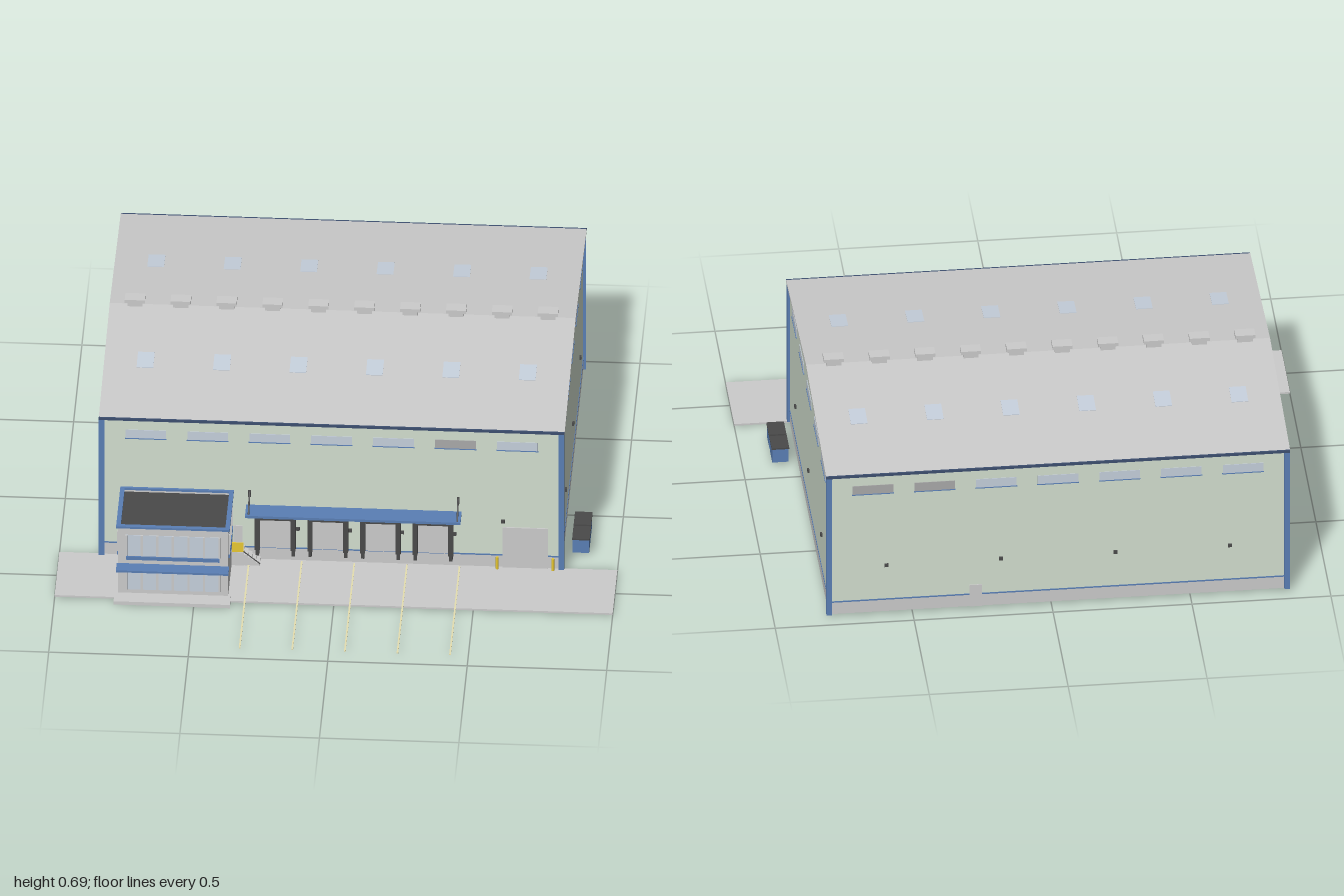
import * as THREE from 'three';

const GREY = 0xcccccc, GREEN = 0xd3dfcf, BLUE = 0x5a7fb5, DARK = 0x4a4a4a, GLASS = 0xc6d0dc, YELLOW = 0xe8c832;
const mats = {};
const mat = (c) => (mats[c] ??= new THREE.MeshStandardMaterial({ color: c, side: THREE.DoubleSide }));

function add(parent, name, color, geo) {
  const m = new THREE.Mesh(geo, mat(color));
  m.name = name;
  parent.add(m);
  return m;
}

// Box given by its limits on each axis
function box(parent, name, color, x0, x1, y0, y1, z0, z1) {
  const m = add(parent, name, color, new THREE.BoxGeometry(x1 - x0, y1 - y0, z1 - z0));
  m.position.set((x0 + x1) / 2, (y0 + y1) / 2, (z0 + z1) / 2);
  return m;
}

// Profile of [z, y] points extruded from x0 to x1
function extrudeX(parent, name, color, pts, x0, x1) {
  const shape = new THREE.Shape(pts.map(([z, y]) => new THREE.Vector2(-z, y)));
  const g = new THREE.ExtrudeGeometry(shape, { depth: x1 - x0, bevelEnabled: false });
  g.rotateY(Math.PI / 2).translate(x0, 0, 0);
  return add(parent, name, color, g);
}

// Round bar between two points
function rod(parent, name, color, a, b, r) {
  const p = new THREE.Vector3(...a), q = new THREE.Vector3(...b);
  const m = add(parent, name, color, new THREE.CylinderGeometry(r, r, p.distanceTo(q), 8));
  m.position.copy(p).add(q).multiplyScalar(0.5);
  m.quaternion.setFromUnitVectors(new THREE.Vector3(0, 1, 0), q.sub(p).normalize());
  return m;
}

function group(parent, name) {
  const g = new THREE.Group();
  g.name = name;
  parent.add(g);
  return g;
}

// Hall limits
const X0 = -0.848, X1 = 0.8, Z0 = -0.942, Z1 = 0.363, RIDGE = -0.288, CX = (X0 + X1) / 2, T = 0.008;
const roofY = (z) => 0.655 - 0.055 * Math.abs(z - RIDGE) / 0.658;

function buildHall(root) {
  const g = group(root, 'hall');
  // Walls, open at the bottom
  box(g, 'frontWall', GREEN, X0, X1, 0.06, 0.592, Z1 - T, Z1);
  box(g, 'backWall', GREEN, X0, X1, 0.06, 0.592, Z0, Z0 + T);
  const gable = [[Z1 - T, 0.06], [Z1 - T, 0.592], [RIDGE, 0.647], [Z0 + T, 0.592], [Z0 + T, 0.06]];
  extrudeX(g, 'leftGableWall', GREEN, gable, X1 - T, X1);
  extrudeX(g, 'rightGableWall', GREEN, gable, X0, X0 + T);

  // Concrete plinth and blue trim line
  const ring = (name, c, y0, y1, e) => {
    for (const z of [Z0, Z1 - T]) box(g, name, c, X0 - e, X1 + e, y0, y1, z - e, z + T + e);
    for (const x of [X0, X1 - T]) box(g, name, c, x - e, x + T + e, y0, y1, Z0, Z1);
  };
  ring('plinth', GREY, 0.01, 0.06, 0.001);
  ring('baseTrim', BLUE, 0.058, 0.063, 0.002);

  // Pitched roof, gutters and corner posts
  extrudeX(g, 'roof', GREY, [[0.37, 0.59], [0.37, 0.6], [RIDGE, 0.655], [-0.952, 0.6], [-0.952, 0.59], [RIDGE, 0.645]], -0.858, 0.812);
  for (const z of [0.37, -0.958]) box(g, 'gutter', 0x3d4f70, -0.858, 0.812, 0.59, 0.6, z, z + 0.006);
  for (const x of [X0, X1]) for (const z of [Z0, Z1])
    box(g, 'cornerPost', BLUE, x - 0.01, x + 0.01, 0.01, 0.594, z - 0.01, z + 0.01);

  // Ridge ventilators with flared caps
  for (let i = 0; i < 10; i++) {
    const x = -0.767 + i * 0.1645;
    box(g, 'ventBase', GREY, x - 0.027, x + 0.027, 0.64, 0.672, RIDGE - 0.016, RIDGE + 0.016);
    box(g, 'ventCap', GREY, x - 0.036, x + 0.036, 0.672, 0.685, RIDGE - 0.023, RIDGE + 0.023);
  }
  // Skylights lying in both roof slopes
  for (let i = 0; i < 6; i++) for (const z of [0.035, -0.61]) {
    const m = add(g, 'skylight', GLASS, new THREE.BoxGeometry(0.06, 0.004, 0.09));
    m.position.set(-0.71 + i * 0.274, roofY(z), z);
    m.rotation.x = Math.atan(0.055 / 0.658) * (z > RIDGE ? 1 : -1);
  }

  // High windows with a thin blue sill, some replaced by louvres
  for (let i = 0; i < 7; i++) {
    const x = CX + (i - 3) * 0.222;
    for (const [z, grey] of [[Z1 - T / 2, i === 5], [Z0 + T / 2, i >= 5]]) {
      box(g, grey ? 'louvre' : 'highWindow', grey ? 0xaaaaaa : GLASS, x - 0.073, x + 0.073, 0.51, 0.545, z - 0.006, z + 0.006);
      box(g, 'windowSill', BLUE, x - 0.075, x + 0.075, 0.507, 0.51, z - 0.008, z + 0.008);
    }
  }
  for (let i = 0; i < 5; i++) for (const x of [X0 + T / 2, X1 - T / 2]) {
    const z = RIDGE + (i - 2) * 0.242;
    box(g, 'highWindow', GLASS, x - 0.006, x + 0.006, 0.51, 0.545, z - 0.072, z + 0.072);
    box(g, 'windowSill', BLUE, x - 0.008, x + 0.008, 0.507, 0.51, z - 0.074, z + 0.074);
  }

  // Wall lamps
  const lamp = (x, y, z) => box(g, 'wallLamp', DARK, x - 0.007, x + 0.007, y - 0.006, y + 0.006, z - 0.007, z + 0.007);
  for (const z of [0.145, -0.285, -0.715]) for (const x of [X0, X1]) lamp(x, 0.205, z);
  for (let i = 0; i < 4; i++) lamp(X0 + 0.206 + i * 0.412, 0.205, Z0);
  lamp(0.59, 0.205, Z1);
  for (let i = 0; i < 4; i++) lamp(-0.145 + i * 0.187, 0.145, Z1);

  // Doors at ground level
  box(g, 'backDoor', GREY, 0.25, 0.295, 0.01, 0.1, Z0 - 0.004, Z0 + 0.01);
  box(g, 'driveInDoor', GREY, 0.588, 0.752, 0.01, 0.18, Z1 - 0.012, Z1 + 0.005);
  for (const x of [0.57, 0.77]) rod(g, 'bollard', YELLOW, [x, 0.01, 0.378], [x, 0.06, 0.378], 0.005);
}

function buildOffice(root) {
  const g = group(root, 'office');
  const x0 = -0.775, x1 = -0.38, z1 = 0.618;
  box(g, 'officeBody', GREY, x0, x1, 0.008, 0.28, Z1, z1);
  box(g, 'officeRoof', DARK, x0 + 0.005, x1 - 0.005, 0.28, 0.284, Z1, z1 - 0.005);
  // Parapet with blue coping
  const rim = (name, c, y0, y1, w, e) => {
    box(g, name, c, x0 - e, x1 + e, y0, y1, z1 - w, z1 + e);
    for (const [a, b] of [[x0 - e, x0 + w], [x1 - w, x1 + e]]) box(g, name, c, a, b, y0, y1, Z1, z1 - w);
    box(g, name, c, x0 + w, x1 - w, y0, y1, Z1, Z1 + w);
  };
  rim('parapet', GREY, 0.28, 0.292, 0.008, 0);
  rim('coping', BLUE, 0.292, 0.3, 0.01, 0.006);

  // Window bands: panes and mullions on the front
  for (const [a, b] of [[0.03, 0.125], [0.175, 0.262]]) {
    box(g, 'frontGlazing', GLASS, x0 + 0.03, x1 - 0.03, a, b, z1 - 0.002, z1 + 0.002);
    for (let i = 0; i <= 6; i++) {
      const x = x0 + 0.03 + i * (x1 - x0 - 0.06) / 6;
      box(g, 'mullion', GREY, x - 0.004, x + 0.004, a, b, z1, z1 + 0.005);
    }
  }
  box(g, 'frontBand', BLUE, x0 + 0.03, x1 - 0.03, 0.158, 0.172, z1 - 0.002, z1 + 0.005);
  // Side glazing
  for (const x of [x0, x1]) {
    box(g, 'sideGlazing', GLASS, x - 0.002, x + 0.002, 0.172, 0.255, 0.395, 0.585);
    for (let i = 0; i <= 3; i++) {
      const z = 0.395 + i * 0.19 / 3;
      box(g, 'mullion', GREY, x - 0.005, x + 0.005, 0.172, 0.255, z - 0.004, z + 0.004);
    }
    box(g, 'sideBand', BLUE, x - 0.005, x + 0.005, 0.155, 0.167, 0.395, 0.585);
  }
  box(g, 'entranceCanopy', BLUE, x0 - 0.004, x1 + 0.004, 0.132, 0.14, z1, 0.667);
  box(g, 'entranceStep', GREY, -0.787, -0.37, 0, 0.014, z1 - 0.02, 0.677);
}

function buildDocks(root) {
  const g = group(root, 'loadingDocks');
  for (let i = 0; i < 4; i++) {
    const x = -0.225 + i * 0.1885;
    box(g, 'dockDoor', GREY, x - 0.058, x + 0.058, 0.062, 0.195, Z1 - 0.012, Z1 + 0.005);
    // Dark cushioned surround and bumpers
    for (const s of [-1, 1]) {
      const c = x + s * 0.064;
      box(g, 'sealSide', DARK, c - 0.009, c + 0.009, 0.062, 0.21, Z1, 0.387);
      box(g, 'bumper', DARK, c - 0.006, c + 0.006, 0.035, 0.06, Z1, 0.38);
    }
    box(g, 'sealHead', DARK, x - 0.073, x + 0.073, 0.192, 0.214, Z1, 0.39);
  }
  // Canopy hung from two tie rods
  box(g, 'dockCanopy', BLUE, -0.33, 0.442, 0.23, 0.24, Z1, 0.437);
  for (const x of [-0.318, 0.43]) {
    rod(g, 'tieRod', DARK, [x, 0.238, 0.43], [x, 0.298, Z1], 0.003);
    box(g, 'tiePlate', DARK, x - 0.005, x + 0.005, 0.275, 0.302, Z1, Z1 + 0.004);
  }

  // Personnel door with landing, steps and guard
  const s = group(g, 'dockStairs');
  box(s, 'personnelDoor', GREY, -0.375, -0.343, 0.065, 0.15, Z1, Z1 + 0.004);
  box(s, 'landing', GREY, -0.38, -0.335, 0.008, 0.065, Z1, 0.41);
  for (let i = 0; i < 4; i++)
    box(s, 'step', GREY, -0.335 + i * 0.014, -0.321 + i * 0.014, 0.008, 0.054 - i * 0.011, Z1, 0.408);
  box(s, 'guard', YELLOW, -0.378, -0.337, 0.066, 0.105, 0.406, 0.41);
  rod(s, 'handrail', DARK, [-0.337, 0.068, 0.408], [-0.278, 0.018, 0.408], 0.002);
}

function buildYard(root) {
  const g = group(root, 'yard');
  box(g, 'apron', GREY, -1, 1, 0.002, 0.009, 0.36, 0.642);
  for (let i = 0; i < 5; i++) {
    const x = -0.319 + i * 0.1885;
    box(g, 'bayLine', 0xe6dfb0, x - 0.003, x + 0.003, 0.007, 0.011, 0.372, 0.945);
  }
  // Waste bins with sloped dark lids
  for (const z of [0.085, 0.178]) {
    extrudeX(g, 'binBody', BLUE, [[z, 0.012], [z, 0.066], [z + 0.082, 0.066], [z + 0.082, 0.012]], 0.834, 0.893);
    box(g, 'binLid', DARK, 0.832, 0.895, 0.066, 0.072, z - 0.001, z + 0.083);
  }
}

export function createModel() {
  const root = new THREE.Group();
  root.name = 'warehouse';
  buildHall(root);
  buildOffice(root);
  buildDocks(root);
  buildYard(root);
  return root;
}
